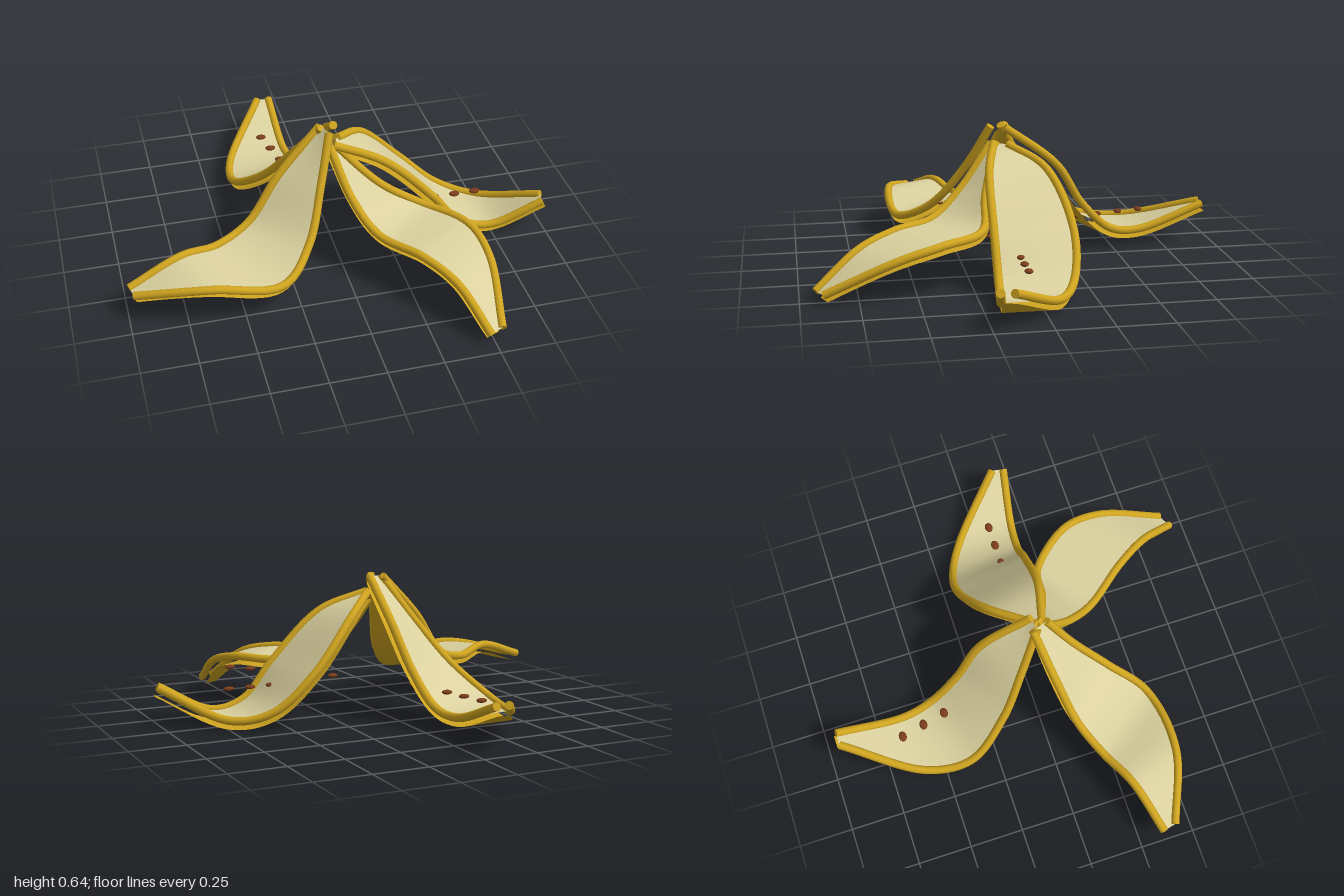
import * as THREE from 'three';

const skin = new THREE.MeshStandardMaterial({ name: 'yellow skin', color: 0xcfa41f, side: THREE.DoubleSide });
const flesh = new THREE.MeshStandardMaterial({ name: 'cream flesh', color: 0xdbd19f });
const brown = new THREE.MeshStandardMaterial({ name: 'brown spot', color: 0x7a3d1c });

const EDGE_RADIUS = 0.019, THICKNESS = 0.04, STEPS = 48, ACROSS = 6;

// Cross-sections from crown to tip: [height, right rim x, z, left rim x, z, drop of the left rim],
// with right and left as seen heading outward
const backFlap = [
  [0.63, 0.01, 0.04, -0.05, 0.05],
  [0.45, 0.018, -0.2, -0.155, -0.055],
  [0.25, -0.02, -0.33, -0.28, -0.19],
  [0.11, -0.055, -0.48, -0.385, -0.38],
  [0.09, -0.08, -0.62, -0.36, -0.59],
  [0.2, -0.09, -0.94, -0.15, -0.94],
];
const leftFlap = [
  [0.555, 0, 0.09, 0.03, 0.03],
  [0.47, 0.22, 0.145, 0.18, -0.12],
  [0.25, 0.45, 0.16, 0.39, -0.2],
  [0.085, 0.59, 0.165, 0.575, -0.17],
  [0.045, 0.74, 0.18, 0.74, -0.08],
  [0.165, 0.98, 0.22, 0.99, 0.165],
];
const frontFlap = [
  [0.555, -0.02, 0.1, 0, 0.08],
  [0.36, 0.045, 0.25, 0.2, 0.16],
  [0.25, 0.13, 0.39, 0.38, 0.2],
  [0.24, 0.28, 0.58, 0.545, 0.39],
  [0.195, 0.385, 0.74, 0.583, 0.58],
  [0.05, 0.48, 0.93, 0.54, 0.9],
];
const rightFlap = [
  [0.63, -0.05, 0.03, -0.025, 0.1],
  [0.43, -0.255, 0.08, -0.09, 0.21],
  [0.235, -0.41, 0.135, -0.18, 0.36],
  [0.185, -0.57, 0.205, -0.33, 0.505, 0.04],
  [0.215, -0.74, 0.28, -0.65, 0.525, 0.015],
  [0.14, -0.985, 0.352, -0.97, 0.41],
];

// Ruled sheet between two rims
function sheet(right, left) {
  const positions = [], index = [];
  for (let i = 0; i <= STEPS; i++) {
    const a = right.getPoint(i / STEPS), b = left.getPoint(i / STEPS);
    for (let j = 0; j <= ACROSS; j++) positions.push(...a.clone().lerp(b, j / ACROSS).toArray());
  }
  for (let i = 0; i < STEPS; i++) {
    for (let j = 0; j < ACROSS; j++) {
      const a = i * (ACROSS + 1) + j, b = a + ACROSS + 1;
      index.push(a, b, a + 1, b, b + 1, a + 1);
    }
  }
  const geometry = new THREE.BufferGeometry();
  geometry.setAttribute('position', new THREE.Float32BufferAttribute(positions, 3));
  geometry.setIndex(index);
  geometry.computeVertexNormals();
  return geometry;
}

// The same sheet pushed out through its back and turned over
function underside(inner) {
  const geometry = inner.clone();
  const p = geometry.attributes.position, n = inner.attributes.normal;
  const point = new THREE.Vector3(), normal = new THREE.Vector3();
  for (let i = 0; i < p.count; i++) {
    point.fromBufferAttribute(p, i).addScaledVector(normal.fromBufferAttribute(n, i), -THICKNESS);
    p.setXYZ(i, point.x, point.y, point.z);
  }
  geometry.setIndex(Array.from(inner.index.array).reverse());
  geometry.computeVertexNormals();
  return geometry;
}

function add(parent, name, geometry, material) {
  const mesh = new THREE.Mesh(geometry, material);
  mesh.name = name;
  parent.add(mesh);
  return mesh;
}

// Round rim with flat ends
function addRim(parent, name, path) {
  add(parent, name, new THREE.TubeGeometry(path, 64, EDGE_RADIUS, 10), skin);
  for (const t of [0, 1]) {
    const cap = add(parent, name + 'End', new THREE.CircleGeometry(EDGE_RADIUS, 10), skin);
    const outward = path.getTangent(t).multiplyScalar(t ? 1 : -1);
    cap.position.copy(path.getPoint(t));
    cap.quaternion.setFromUnitVectors(new THREE.Vector3(0, 0, 1), outward);
  }
}

// Straight row of flat spots, all at one height
function addSpots(parent, count, x0, z0, x1, z1) {
  for (let i = 0; i < count; i++) {
    const t = i / (count - 1);
    const spot = add(parent, 'spot', new THREE.SphereGeometry(0.025, 12, 8), brown);
    spot.scale.set(1, 0.4, 0.75);
    spot.position.set(THREE.MathUtils.lerp(x0, x1, t), 0.16, THREE.MathUtils.lerp(z0, z1, t));
  }
}

function makeFlap(name, sections) {
  const group = new THREE.Group();
  group.name = name;
  const right = new THREE.CatmullRomCurve3(sections.map(([y, x, z]) => new THREE.Vector3(x, y, z)));
  const left = new THREE.CatmullRomCurve3(
    sections.map(([y, , , x, z, drop = 0]) => new THREE.Vector3(x, y - drop, z)));
  const inner = sheet(right, left);
  add(group, 'innerFlesh', inner, flesh);
  add(group, 'outerSkin', underside(inner), skin);
  addRim(group, 'rightRim', right);
  addRim(group, 'leftRim', left);
  return group;
}

export function createModel() {
  const model = new THREE.Group();
  model.name = 'fruitPeel';
  const back = makeFlap('backFlap', backFlap);
  const left = makeFlap('leftFlap', leftFlap);
  const front = makeFlap('frontFlap', frontFlap);
  const right = makeFlap('rightFlap', rightFlap);
  addSpots(back, 5, -0.19, -0.65, -0.09, -0.22);
  addSpots(left, 5, 0.7, 0.055, 0.3, 0.055);
  addSpots(front, 6, 0.52, 0.54, 0.16, 0.13);
  addSpots(right, 4, -0.39, 0.24, -0.66, 0.38);
  model.add(back, left, front, right);
  return model;
}
